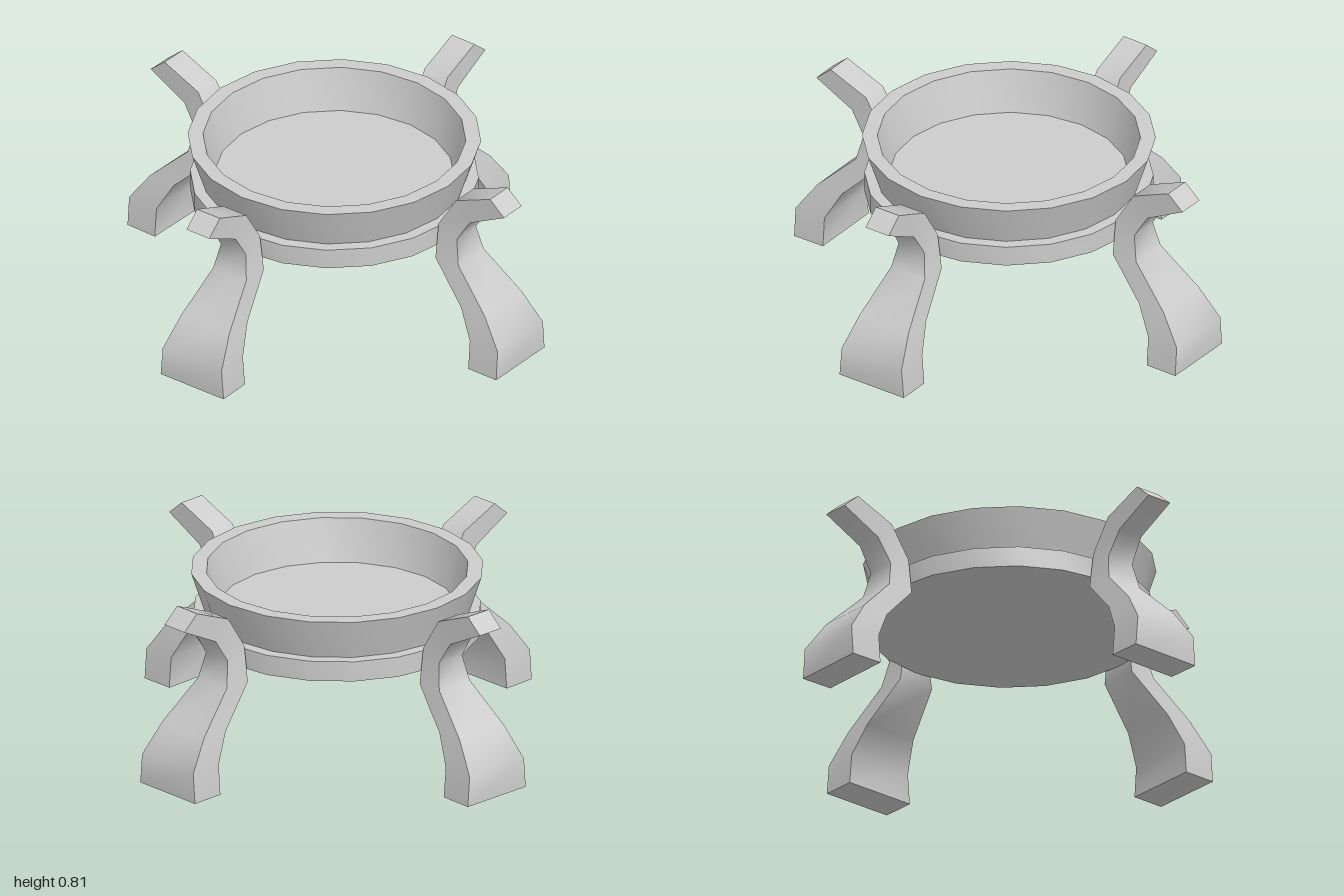
import * as THREE from 'three';
import { toCreasedNormals } from 'three/addons/utils/BufferGeometryUtils.js';

const material = new THREE.MeshStandardMaterial({ color: 0xcccccc });

// Leg sections from foot to tip: outer radius, outer y, inner radius, inner y, half width
const LEG = [
  [1.0, 0, 0.85, 0, 0.168],
  [1.0, 0.134, 0.85, 0.134, 0.157],
  [0.907, 0.267, 0.78, 0.262, 0.128],
  [0.735, 0.433, 0.612, 0.428, 0.088],
  [0.71, 0.545, 0.612, 0.588, 0.067],
  [0.775, 0.65, 0.7, 0.733, 0.061],
  [0.96, 0.745, 0.885, 0.81, 0.061],
];

// Loft of rectangular sections, closed at both ends
function legGeometry() {
  const positions = [];
  const index = [];
  for (const [ro, yo, ri, yi, w] of LEG) {
    positions.push(-w, yo, ro, w, yo, ro, w, yi, ri, -w, yi, ri);
  }
  for (let i = 0; i < LEG.length - 1; i++) {
    for (let k = 0; k < 4; k++) {
      const a = i * 4 + k;
      const b = i * 4 + ((k + 1) % 4);
      index.push(a, b, b + 4, a, b + 4, a + 4);
    }
  }
  const t = (LEG.length - 1) * 4;
  index.push(0, 2, 1, 0, 3, 2, t, t + 1, t + 2, t, t + 2, t + 3);
  const geometry = new THREE.BufferGeometry();
  geometry.setAttribute('position', new THREE.Float32BufferAttribute(positions, 3));
  geometry.setIndex(index);
  return toCreasedNormals(geometry, 0.9);
}

export function createModel() {
  const group = new THREE.Group();

  // Flared dish on a base ring, with a slightly hollow underside
  const profile = [
    [0, 0.51], [0.125, 0.51], [0.615, 0.48], [0.615, 0.57], [0.565, 0.57],
    [0.625, 0.755], [0.56, 0.755], [0.51, 0.57], [0, 0.57],
  ].map(([r, y]) => new THREE.Vector2(r, y));
  const dish = new THREE.Mesh(toCreasedNormals(new THREE.LatheGeometry(profile, 20), 0.5), material);
  dish.name = 'dish';
  group.add(dish);

  // Four legs, each turned a little off its axis
  const geometry = legGeometry();
  const legs = { frontLeg: 1.4, leftLeg: 90.9, backLeg: 179.8, rightLeg: 271.9 };
  for (const [name, degrees] of Object.entries(legs)) {
    const leg = new THREE.Mesh(geometry, material);
    leg.name = name;
    leg.rotation.y = THREE.MathUtils.degToRad(degrees);
    group.add(leg);
  }
  return group;
}
